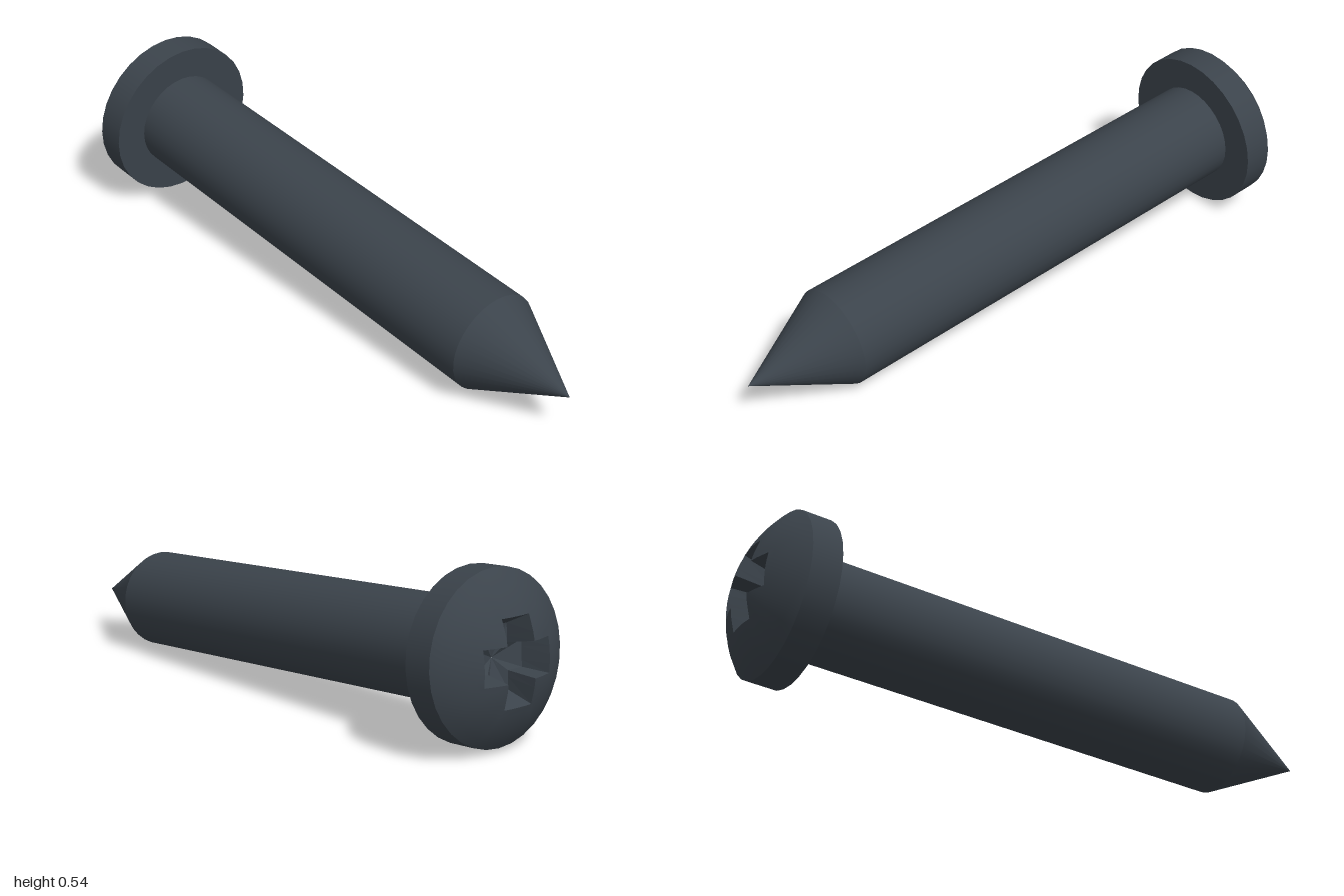
import * as THREE from 'three';

const SIDES = 32;
const HEAD_R = 0.264, SHAFT_R = 0.16;
const SHAFT_LEN = 1.522, TIP_LEN = 0.314;
const RIM_H = 0.096, DOME_H = 0.107;
const ARM = 0.131; // half length of the cross recess; arm half width is ARM * tan(22.5 deg)

// Height of the spherical cap at radius r
const CAP_R = (HEAD_R ** 2 + DOME_H ** 2) / (2 * DOME_H);
const domeY = r => RIM_H + DOME_H - CAP_R + Math.sqrt(CAP_R ** 2 - r * r);

// Polar radius of the cross outline at segment i
function crossRadius(i) {
  const a = (i % 8) * Math.PI * 2 / SIDES;
  const phi = Math.min(a, Math.PI / 2 - a);
  return phi <= Math.PI / 8 + 1e-6
    ? ARM / Math.cos(phi)
    : ARM * Math.tan(Math.PI / 8) / Math.sin(phi);
}

// Surface through closed rings, listed from the outside in; ring(i) gives [radius, y]
function ringSurface(rings) {
  const pos = [], index = [];
  rings.forEach((ring, k) => {
    for (let i = 0; i < SIDES; i++) {
      const [r, y] = ring(i), a = i * Math.PI * 2 / SIDES;
      pos.push(r * Math.cos(a), y, r * Math.sin(a));
      if (k === 0) continue;
      const j = (i + 1) % SIDES, o = (k - 1) * SIDES, n = k * SIDES;
      index.push(o + i, n + i, o + j, o + j, n + i, n + j);
    }
  });
  const g = new THREE.BufferGeometry();
  g.setAttribute('position', new THREE.Float32BufferAttribute(pos, 3));
  g.setIndex(index);
  g.computeVertexNormals();
  return g;
}

export function createModel() {
  const steel = new THREE.MeshStandardMaterial({ color: 0x3b434b });
  steel.name = 'dark steel';

  const screw = new THREE.Group();
  screw.name = 'screw';
  const add = (name, geometry, y = 0) => {
    const mesh = new THREE.Mesh(geometry, steel);
    mesh.name = name;
    mesh.position.y = y;
    screw.add(mesh);
  };

  // Shaft and conical tip, below the head
  add('shaft', new THREE.CylinderGeometry(SHAFT_R, SHAFT_R, SHAFT_LEN, SIDES, 1, true), -SHAFT_LEN / 2);
  add('tip', new THREE.CylinderGeometry(SHAFT_R, 0, TIP_LEN, SIDES, 1, true), -SHAFT_LEN - TIP_LEN / 2);

  // Head: flat underside, straight rim, domed top with a cross opening
  add('headUnderside', new THREE.RingGeometry(SHAFT_R, HEAD_R, SIDES).rotateX(Math.PI / 2));
  add('headRim', new THREE.CylinderGeometry(HEAD_R, HEAD_R, RIM_H, SIDES, 1, true), RIM_H / 2);
  const domeRings = [];
  for (let k = 0; k <= 6; k++) {
    domeRings.push(i => {
      const r = THREE.MathUtils.lerp(HEAD_R, crossRadius(i), k / 6);
      return [r, domeY(r)];
    });
  }
  add('headDome', ringSurface(domeRings));

  // Cross recess: tapered walls down to a shallow pointed floor
  const recess = ringSurface([
    i => [crossRadius(i), domeY(crossRadius(i))],
    i => [crossRadius(i) * 0.75, 0.1],
    () => [0.0005, 0.075],
  ]).toNonIndexed();
  recess.computeVertexNormals();
  add('driveRecess', recess);

  // Lay the screw down along its slanted axis
  const headDir = new THREE.Vector3(-1, 0.075, -0.212).normalize();
  const side = new THREE.Vector3(0, 1, 0).cross(headDir).normalize();
  const third = new THREE.Vector3().crossVectors(side, headDir);
  screw.quaternion.setFromRotationMatrix(new THREE.Matrix4().makeBasis(side, headDir, third));
  screw.position.set(-0.8, 0.276, -0.1);

  const model = new THREE.Group();
  model.name = 'model';
  model.add(screw);
  return model;
}
